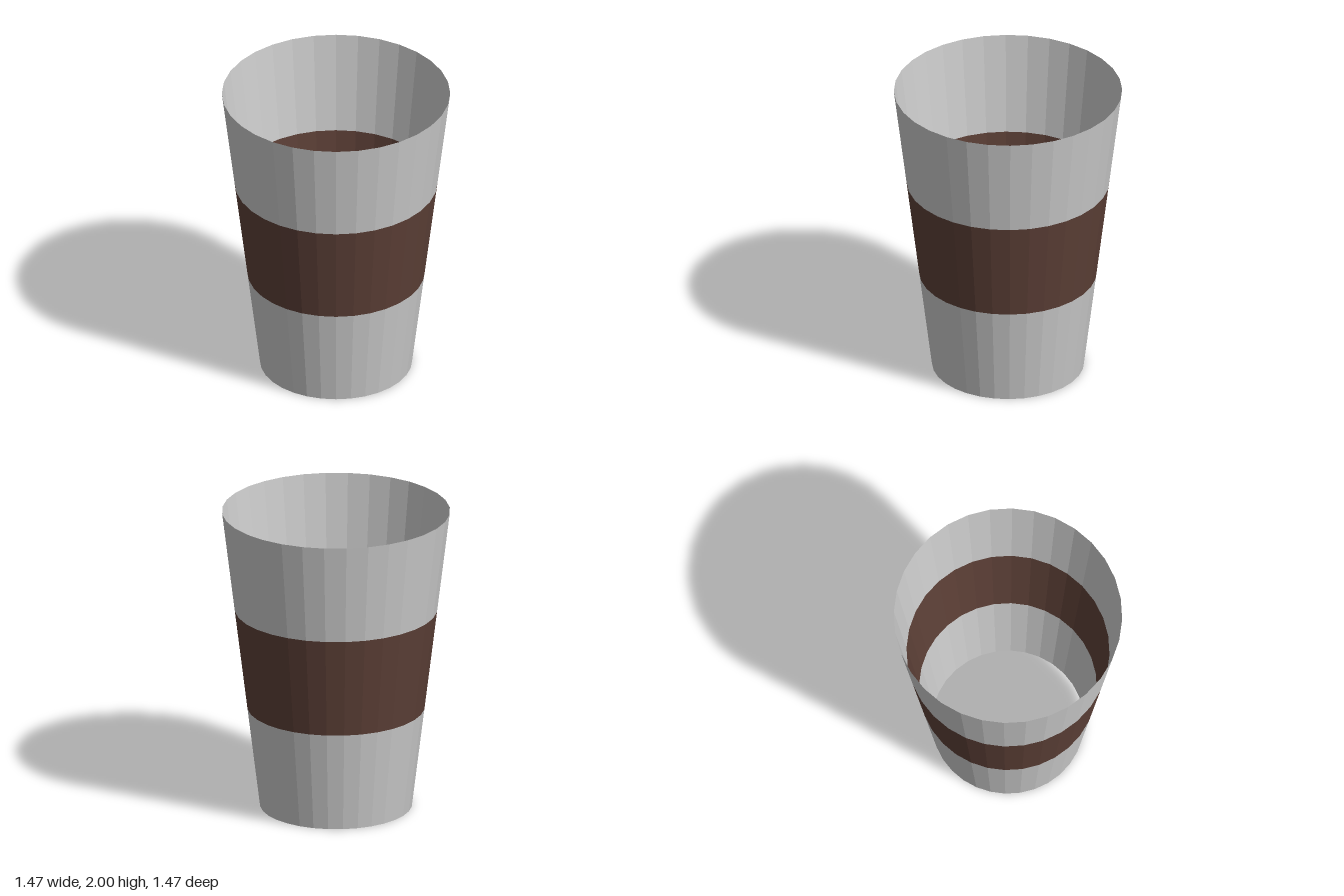
import * as THREE from 'three';

const HEIGHT = 2, BOTTOM_RADIUS = 0.49, TOP_RADIUS = 0.735, SIDES = 32;

// Wall radius at a given height
const radiusAt = (y) => THREE.MathUtils.lerp(BOTTOM_RADIUS, TOP_RADIUS, y / HEIGHT);

// One open, tapered ring of the thin wall
function wallBand(name, y0, y1, color) {
  const geometry = new THREE.CylinderGeometry(radiusAt(y1), radiusAt(y0), y1 - y0, SIDES, 1, true);
  geometry.translate(0, (y0 + y1) / 2, 0);
  const material = new THREE.MeshStandardMaterial({ color, flatShading: true, side: THREE.DoubleSide });
  const mesh = new THREE.Mesh(geometry, material);
  mesh.name = name;
  return mesh;
}

export function createModel() {
  const cup = new THREE.Group();
  cup.name = 'cup';
  const third = HEIGHT / 3;
  cup.add(
    wallBand('lowerWall', 0, third, 0xcccccc),
    wallBand('brownSleeve', third, 2 * third, 0x5d4037),
    wallBand('upperWall', 2 * third, HEIGHT, 0xcccccc),
  );
  return cup;
}
